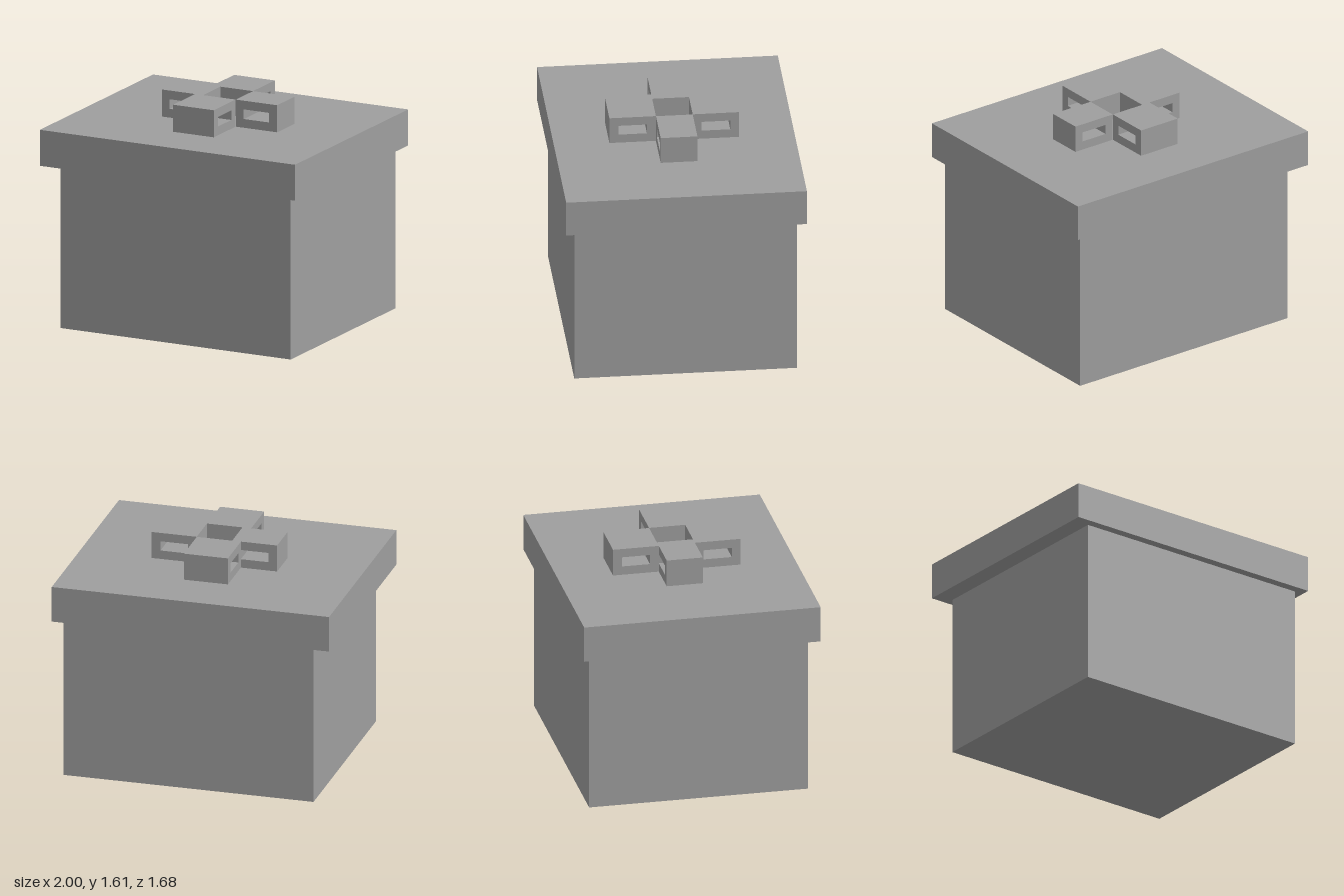
import * as THREE from 'three';

const material = new THREE.MeshStandardMaterial({ color: 0x9e9e9e, flatShading: true });

// Box given by its minimum and maximum corners
function box(name, [x0, y0, z0], [x1, y1, z1]) {
  const mesh = new THREE.Mesh(new THREE.BoxGeometry(x1 - x0, y1 - y0, z1 - z0), material);
  mesh.name = name;
  mesh.position.set((x0 + x1) / 2, (y0 + y1) / 2, (z0 + z1) / 2);
  return mesh;
}

// Rectangular ribbon loop with a slot through it, extruded along z
const LENGTH = 0.324, HEIGHT = 0.194, WALL = 0.0625;
function ribbonLoop(width) {
  const rect = (path, x, y, w, h) =>
    path.moveTo(x, y).lineTo(x + w, y).lineTo(x + w, y + h).lineTo(x, y + h).closePath();
  const shape = rect(new THREE.Shape(), -LENGTH / 2, 0, LENGTH, HEIGHT);
  shape.holes.push(rect(new THREE.Path(), -LENGTH / 2 + WALL, WALL, LENGTH - 2 * WALL, HEIGHT - 2 * WALL));
  return new THREE.ExtrudeGeometry(shape, { depth: width, bevelEnabled: false })
    .translate(0, 0, -width / 2);
}

export function createModel() {
  const group = new THREE.Group();
  group.name = 'giftBox';

  group.add(box('boxBody', [-0.87, 0, -0.775], [0.933, 1.162, 0.775]));
  group.add(box('lid', [-1, 1.162, -0.838], [1, 1.42, 0.838]));

  // Four loops around an open square in the middle, meeting flush at its corners
  const bow = new THREE.Group();
  bow.name = 'bow';
  bow.position.y = 1.42;
  const loops = [
    ['leftLoop', 0.322, 0, 0, 0.256],
    ['rightLoop', -0.258, 0, 0, 0.256],
    ['frontLoop', 0, 0.29, Math.PI / 2, 0.318],
    ['backLoop', 0, -0.29, Math.PI / 2, 0.318],
  ];
  for (const [name, x, z, turn, width] of loops) {
    const loop = new THREE.Mesh(ribbonLoop(width), material);
    loop.name = name;
    loop.position.set(x, 0, z);
    loop.rotation.y = turn;
    bow.add(loop);
  }
  group.add(bow);
  return group;
}
